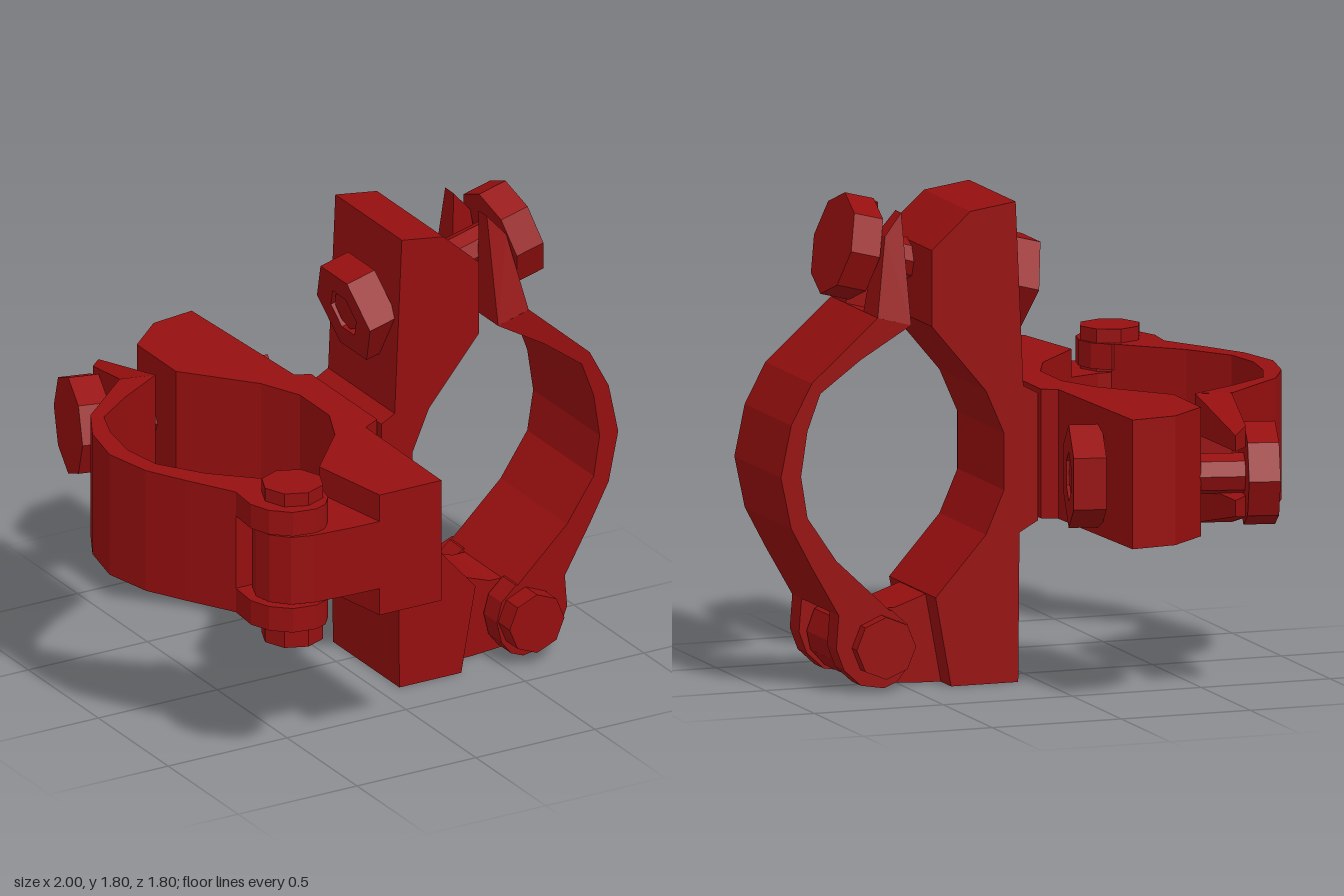
import * as THREE from 'three';

const material = new THREE.MeshStandardMaterial({ color: 0x960f0f, flatShading: true });
const HALF = 0.238; // half the width of a clamp

function add(parent, name, geometry) {
  const mesh = new THREE.Mesh(geometry, material);
  mesh.name = name;
  parent.add(mesh);
  return mesh;
}

const toShape = (points) => new THREE.Shape(points.map(([x, y]) => new THREE.Vector2(x, y)));

// Flat outline in x/y, extruded from z0 to z1
function plate(points, z0, z1) {
  return new THREE.ExtrudeGeometry(toShape(points), { depth: z1 - z0, bevelEnabled: false }).translate(0, 0, z0);
}

function polygon(sides, radius, start = 0) {
  return Array.from({ length: sides }, (_, i) => {
    const a = start + (i / sides) * Math.PI * 2;
    return [Math.cos(a) * radius, Math.sin(a) * radius];
  });
}

function createClamp(name) {
  const clamp = new THREE.Group();
  clamp.name = name;

  // Fixed half with mounting flange
  add(clamp, 'saddle', plate([
    [0.08, 0], [0.34, 0], [0.4, 0.33], [0.205, 0.55], [0.135, 0.71], [0.135, 0.92],
    [0.205, 1.08], [0.415, 1.33], [0.415, 1.61], [0.265, 1.745], [0.09, 1.77],
    [0.06, 1.09], [0.004, 1.06], [0.004, 0.59], [0.075, 0.55],
  ], -HALF, HALF));

  // Narrow hinge tongue of the fixed half
  add(clamp, 'hingeTongue', plate([
    [0.3, 0], [0.45, 0.003], [0.61, 0.015], [0.69, 0.04], [0.745, 0.1], [0.76, 0.17],
    [0.73, 0.25], [0.66, 0.285], [0.52, 0.285], [0.39, 0.33], [0.3, 0.4],
  ], -0.133, 0.133));

  // Swinging half of the ring
  add(clamp, 'strap', plate([
    [0.57, 0.287], [0.775, 0.287], [0.88, 0.47], [0.96, 0.62], [1, 0.81], [0.96, 1],
    [0.88, 1.15], [0.625, 1.375], [0.495, 1.34], [0.69, 1.225], [0.847, 1.11],
    [0.897, 0.975], [0.922, 0.81], [0.897, 0.655], [0.785, 0.49],
  ], -HALF, HALF));

  for (const side of [-1, 1]) {
    // Forked hinge lugs either side of the tongue
    const lug = [
      [0.6, 0.01], [0.69, 0.025], [0.755, 0.085], [0.785, 0.165], [0.775, 0.295],
      [0.57, 0.295], [0.51, 0.24], [0.49, 0.165], [0.51, 0.08], [0.55, 0.03],
    ];
    add(clamp, 'hingeLug', side > 0 ? plate(lug, 0.143, HALF) : plate(lug, -HALF, -0.143));

    // Prongs that taper towards the tip, leaving a slot for the bolt
    const tab = [[0.495, 1.34], [0.625, 1.37], [0.57, 1.66], [0.5, 1.74]];
    const prong = side > 0 ? plate(tab, 0.09, HALF) : plate(tab, -HALF, -0.09);
    const p = prong.attributes.position;
    for (let i = 0; i < p.count; i++) {
      if (Math.abs(p.getZ(i)) > 0.2) {
        p.setZ(i, side * (HALF - 0.24 * Math.max(0, p.getY(i) - 1.37)));
      }
    }
    prong.computeVertexNormals();
    add(clamp, 'strapProng', prong);
  }

  // Hinge pin with a thick end in front and a thin one behind
  const pin = new THREE.CylinderGeometry(0.115, 0.115, 0.61, 8).rotateX(Math.PI / 2);
  add(clamp, 'hingePin', pin).position.set(0.61, 0.165, 0.016);

  // Tilted closing bolt, built along its own y axis from the nut outwards
  const bolt = new THREE.Group();
  bolt.name = 'closingBolt';
  bolt.position.set(-0.027, 1.425, 0.02);
  bolt.rotation.z = Math.atan2(0.25, 0.97) - Math.PI / 2;
  clamp.add(bolt);

  add(bolt, 'boltShaft', new THREE.CylinderGeometry(0.075, 0.075, 0.65, 8).translate(0, 0.335, 0));
  add(bolt, 'boltHead', new THREE.CylinderGeometry(0.19, 0.19, 0.115, 8).translate(0, 0.695, 0));
  const nut = toShape(polygon(6, 0.19, Math.PI / 2));
  nut.holes.push(toShape(polygon(6, 0.09, Math.PI / 2)));
  add(bolt, 'nut', new THREE.ExtrudeGeometry(nut, { depth: 0.12, bevelEnabled: false }).rotateX(-Math.PI / 2));

  return clamp;
}

export function createModel() {
  const model = new THREE.Group();
  model.name = 'swivelClamp';

  // Upright clamp
  const upright = createClamp('uprightClamp');
  upright.position.z = 0.079;
  model.add(upright);

  // The same clamp turned back to back and laid on its side
  const level = createClamp('levelClamp');
  level.applyMatrix4(new THREE.Matrix4().makeBasis(
    new THREE.Vector3(-1, 0, 0), new THREE.Vector3(0, 0, -1), new THREE.Vector3(0, -1, 0),
  ).setPosition(0, 0.837, 0.89));
  model.add(level);

  // Swivel rivet joining both flanges
  const rivet = new THREE.CylinderGeometry(0.155, 0.155, 0.1, 12).rotateZ(Math.PI / 2);
  add(model, 'swivelRivet', rivet).position.set(0, 0.82, 0.08);

  return model;
}
